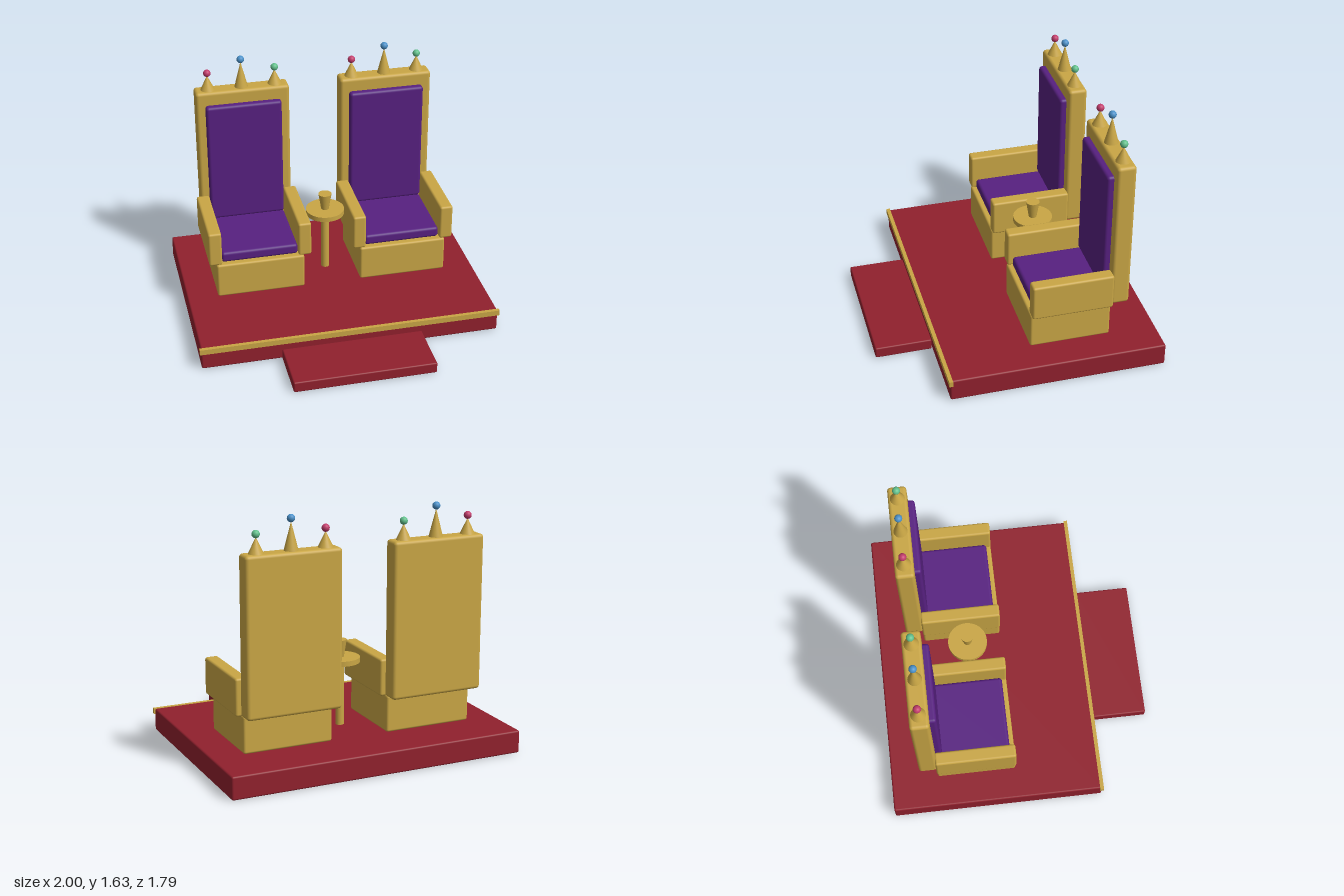
import * as THREE from 'three';
import { RoundedBoxGeometry } from 'three/addons/geometries/RoundedBoxGeometry.js';

const paint = (name, color) => {
  const m = new THREE.MeshStandardMaterial({ color });
  m.name = name;
  return m;
};

export function createModel() {
  const gold = paint('gold', 0xc9a645);
  const red = paint('carpet red', 0x90202d);
  const purple = paint('velvet purple', 0x572080);
  const pink = paint('pink gem', 0xc23c6c);
  const blue = paint('blue gem', 0x4a90c8);
  const green = paint('green gem', 0x62c08c);

  const add = (parent, name, geometry, material, x = 0, y = 0, z = 0) => {
    const mesh = new THREE.Mesh(geometry, material);
    mesh.name = name;
    mesh.position.set(x, y, z);
    parent.add(mesh);
    return mesh;
  };
  // Rounded box given by its extents on each axis
  const block = (parent, name, material, [x0, x1], [y0, y1], [z0, z1], r = 0.015) =>
    add(parent, name, new RoundedBoxGeometry(x1 - x0, y1 - y0, z1 - z0, 3, r), material,
      (x0 + x1) / 2, (y0 + y1) / 2, (z0 + z1) / 2);

  const model = new THREE.Group();
  model.name = 'throneDais';

  // Platform with gold edge and front step
  block(model, 'platform', red, [-0.99, 0.99], [0, 0.15], [-0.895, 0.52], 0.012);
  add(model, 'platformTrim', new THREE.BoxGeometry(2, 0.037, 0.025), gold, 0, 0.134, 0.517);
  block(model, 'step', red, [-0.467, 0.467], [0, 0.075], [0.523, 0.895], 0.01);

  // Two matching thrones
  for (const side of [-1, 1]) {
    const throne = new THREE.Group();
    throne.name = side < 0 ? 'rightThrone' : 'leftThrone';
    throne.position.x = side * 0.49;
    model.add(throne);

    block(throne, 'base', gold, [-0.297, 0.297], [0.153, 0.397], [-0.58, -0.05]);
    block(throne, 'seatCushion', purple, [-0.258, 0.258], [0.397, 0.47], [-0.6, -0.082], 0.02);
    block(throne, 'backrest', gold, [-0.315, 0.315], [0.4, 1.413], [-0.695, -0.573], 0.022);
    block(throne, 'backCushion', purple, [-0.255, 0.255], [0.475, 1.322], [-0.6, -0.53], 0.02);
    for (const s of [-1, 1]) {
      const arm = block(throne, 'armrest', gold, [-0.044, 0.044], [0.4, 0.642], [-0.58, -0.05]);
      arm.position.x = s * 0.302;
    }

    // Spikes tipped with gems
    const spikes = [[-0.226, 0.1, 0.048, pink], [0, 0.177, 0.045, blue], [0.226, 0.1, 0.048, green]];
    for (const [x, h, r, gem] of spikes) {
      add(throne, 'spike', new THREE.ConeGeometry(r, h, 24), gold, x, 1.412 + h / 2, -0.634);
      add(throne, 'gem', new THREE.SphereGeometry(0.025, 20, 14), gem, x, 1.43 + h, -0.634);
    }
  }

  // Pedestal table and goblet between the thrones
  const table = new THREE.Group();
  table.name = 'pedestalTable';
  table.position.z = -0.285;
  model.add(table);
  add(table, 'pole', new THREE.CylinderGeometry(0.028, 0.028, 0.425, 24), gold, 0, 0.362, 0);
  add(table, 'tableTop', new THREE.CylinderGeometry(0.13, 0.13, 0.033, 40), gold, 0, 0.589, 0);
  add(table, 'goblet', new THREE.CylinderGeometry(0.045, 0.026, 0.115, 24), gold, 0, 0.662, 0);

  return model;
}
